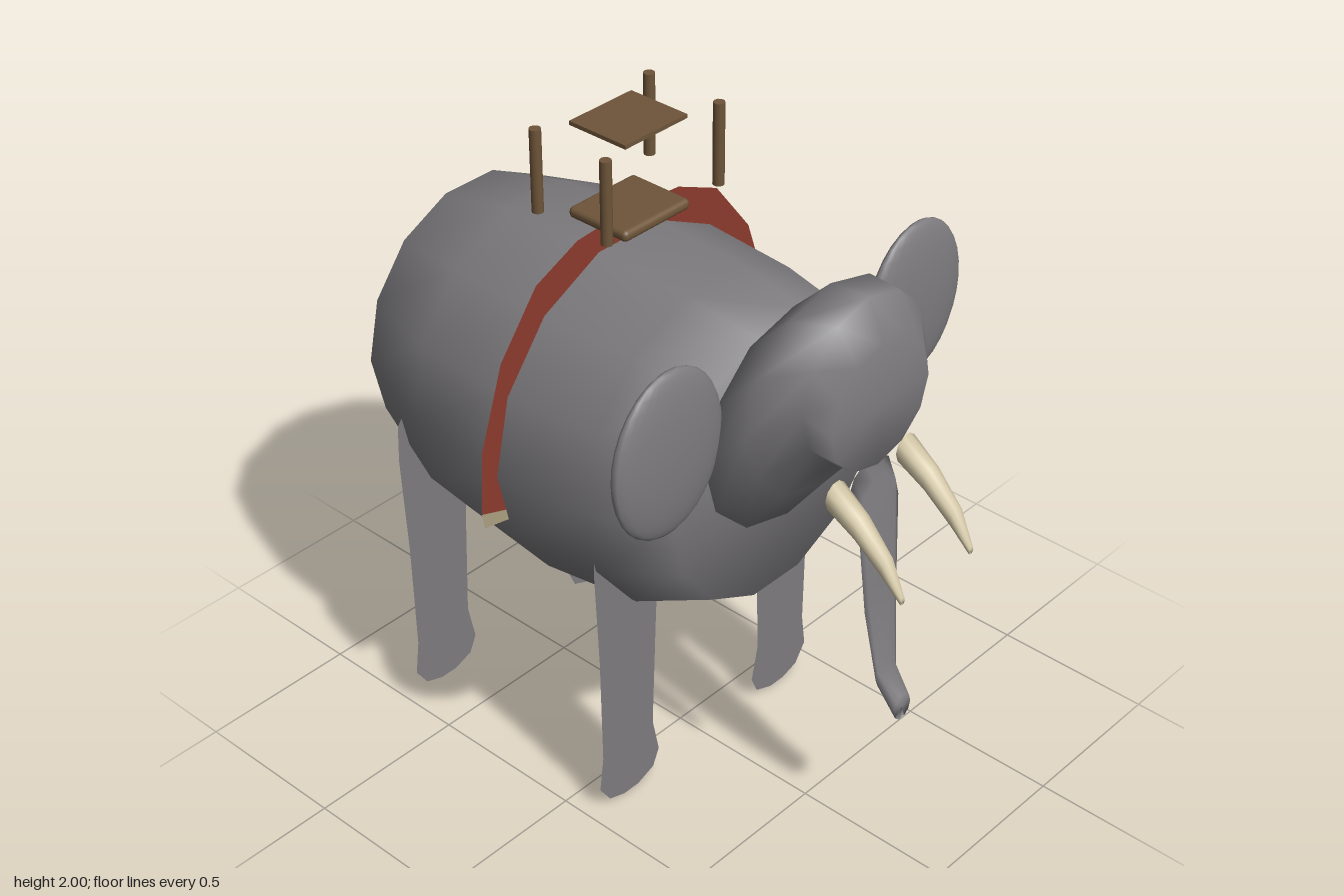
import * as THREE from 'three';
import { RoundedBoxGeometry } from 'three/addons/geometries/RoundedBoxGeometry.js';

const mat = (color) => new THREE.MeshStandardMaterial({ color, side: THREE.DoubleSide, roughness: 0.9 });

// Closed loft through upright elliptical rings, listed in rising z: [z, bottom, top, halfWidth]
function loft(rings, sides) {
  const pos = [], idx = [];
  // highest vertex of the ring relative to its radius
  let peak = 0;
  for (let j = 0; j < sides; j++) peak = Math.max(peak, Math.sin((j / sides) * Math.PI * 2));
  for (const [z, bottom, top, w] of rings) {
    const cy = (top + bottom) / 2, ry = (top - bottom) / 2 / peak;
    for (let j = 0; j < sides; j++) {
      const a = (j / sides) * Math.PI * 2;
      pos.push(Math.cos(a) * w, cy + Math.sin(a) * ry, z);
    }
  }
  for (let i = 0; i < rings.length - 1; i++) {
    for (let j = 0; j < sides; j++) {
      const k = (j + 1) % sides;
      const a = i * sides + j, b = i * sides + k, c = a + sides, d = b + sides;
      idx.push(a, b, c, b, d, c);
    }
  }
  // end caps
  const last = (rings.length - 1) * sides, centre = rings.length * sides;
  for (const [z, bottom, top] of [rings[0], rings[rings.length - 1]]) pos.push(0, (top + bottom) / 2, z);
  for (let j = 0; j < sides; j++) {
    const k = (j + 1) % sides;
    idx.push(centre, k, j, centre + 1, last + j, last + k);
  }
  const g = new THREE.BufferGeometry();
  g.setAttribute('position', new THREE.Float32BufferAttribute(pos, 3));
  g.setIndex(idx);
  g.computeVertexNormals();
  return g;
}

// Flat upright panel from outline points
const panel = (pts) => new THREE.ShapeGeometry(new THREE.Shape(pts.map(([x, y]) => new THREE.Vector2(x, y))));
const mirrorPts = (pts) => pts.map(([x, y]) => [-x, y]);

export function createModel() {
  const model = new THREE.Group();
  const hide = mat(0x7d7b7e), ivory = mat(0xd0c4a4), red = mat(0x8c3a2c);
  const tan = mat(0xaca080), wood = mat(0x6e5539);
  const add = (name, geometry, material, x = 0, y = 0, z = 0) => {
    const m = new THREE.Mesh(geometry, material);
    m.name = name;
    m.position.set(x, y, z);
    model.add(m);
    return m;
  };

  // Barrel body
  add('body', loft([
    [-0.915, 0.92, 1.46, 0.26],
    [-0.825, 0.73, 1.56, 0.42],
    [-0.55, 0.6, 1.62, 0.51],
    [-0.21, 0.565, 1.63, 0.535],
    [0.12, 0.605, 1.615, 0.505],
    [0.365, 0.73, 1.585, 0.43],
  ], 14), hide);

  // Head, slanting back to the jaw
  add('head', loft([
    [0.4, 0.98, 1.65, 0.345],
    [0.52, 1.14, 1.77, 0.32],
    [0.645, 1.3, 1.78, 0.25],
    [0.7, 1.29, 1.66, 0.2],
  ], 12), hide);

  // Trunk, hanging down and curling forward at the tip
  add('trunk', loft([
    [0.68, 1.14, 1.3, 0.09],
    [0.71, 1.06, 1.25, 0.085],
    [0.735, 0.78, 0.92, 0.068],
    [0.768, 0.58, 0.65, 0.045],
    [0.83, 0.49, 0.57, 0.036],
  ], 10), hide);

  const tusk = loft([
    [0.68, 1.215, 1.3, 0.042],
    [0.77, 1.165, 1.235, 0.037],
    [0.86, 1.085, 1.145, 0.027],
    [0.915, 1.02, 1.045, 0.01],
  ], 10);
  const ear = new THREE.SphereGeometry(1, 24, 16);

  // Outlines of the flat legs and the cloth trim, for the left side
  const leg = [
    [0.21, 0.08], [0.235, 0.025], [0.3, 0], [0.36, 0], [0.42, 0.02], [0.46, 0.08], [0.445, 0.19],
    [0.45, 0.55], [0.465, 0.88], [0.46, 1.0], [0.4, 1.08], [0.28, 1.08], [0.21, 1.0],
    [0.21, 0.75], [0.22, 0.55], [0.235, 0.2],
  ];
  const trim = [[0.48, 0.965], [0.49, 0.935], [0.588, 0.955], [0.596, 1.005]];

  for (const s of [1, -1]) {
    const side = s > 0 ? 'left' : 'right';
    const cap = s > 0 ? 'Left' : 'Right';
    const place = (pts) => (s > 0 ? pts : mirrorPts(pts));
    add(side + 'Tusk', tusk, ivory, s * 0.147);
    add(side + 'Ear', ear, hide, s * 0.5, 1.445, 0.412).scale.set(0.203, 0.25, 0.042);
    add('front' + cap + 'Leg', panel(place(leg)), hide, 0, 0, 0.105);
    add('back' + cap + 'Leg', panel(place(leg)), hide, 0, 0, -0.68);
    add(side + 'ClothTrim', panel(place(trim)), tan, 0, 0, -0.19);
  }

  // Saddle cloth: flat arch over the back
  const outer = [[0.596, 1.005], [0.585, 1.2], [0.5, 1.45], [0.36, 1.63], [0.2, 1.7]];
  const inner = [[0.48, 0.965], [0.46, 1.2], [0.4, 1.38], [0.28, 1.53], [0.15, 1.59]];
  const arch = [
    ...outer, [0, 1.715], ...mirrorPts(outer).reverse(),
    ...mirrorPts(inner), [0, 1.6], ...inner.slice().reverse(),
  ];
  add('saddleCloth', panel(arch), red, 0, 0, -0.19);

  // Riding seat with posts and canopy
  add('seat', new RoundedBoxGeometry(0.26, 0.034, 0.217, 3, 0.015), wood, 0, 1.718, -0.187);
  add('canopy', new THREE.BoxGeometry(0.24, 0.012, 0.205), wood, 0, 1.987, -0.187);
  const post = new THREE.CylinderGeometry(0.017, 0.017, 0.25, 10);
  for (const x of [-0.22, 0.22]) {
    for (const z of [-0.06, -0.317]) add('canopyPost', post, wood, x, 1.875, z);
  }
  return model;
}
